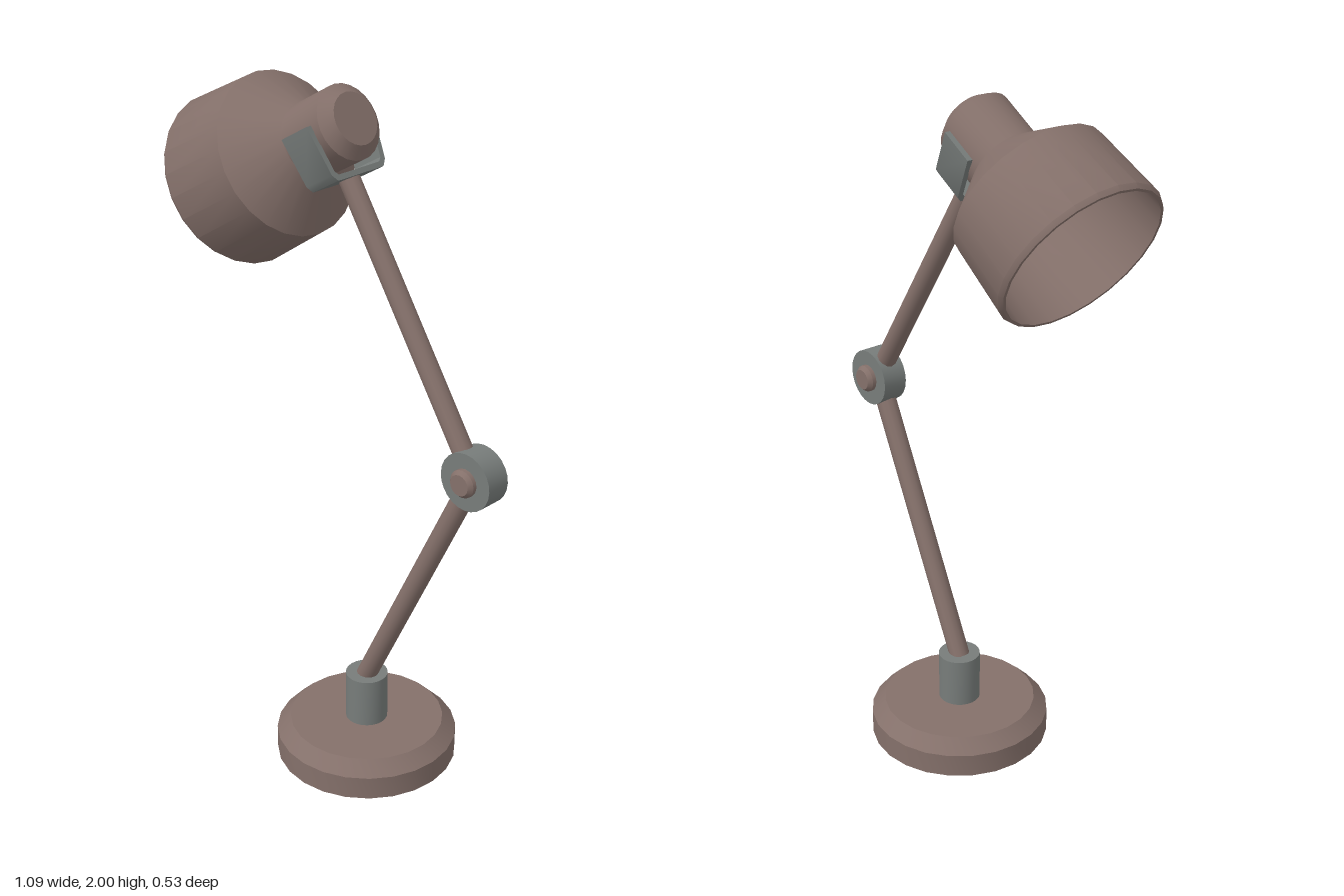
import * as THREE from 'three';
import { toCreasedNormals } from 'three/addons/utils/BufferGeometryUtils.js';

const paint = new THREE.MeshStandardMaterial({ color: 0x84706a });
const paintOpen = new THREE.MeshStandardMaterial({ color: 0x84706a, side: THREE.DoubleSide });
const metal = new THREE.MeshStandardMaterial({ color: 0x777c7a });

function part(name, geometry, material) {
  const mesh = new THREE.Mesh(toCreasedNormals(geometry, 0.55), material);
  mesh.name = name;
  return mesh;
}

// Turned part from [radius, height] pairs
function turned(name, profile, material, sides = 24) {
  const points = profile.map(([r, y]) => new THREE.Vector2(r, y));
  return part(name, new THREE.LatheGeometry(points, sides), material);
}

// Straight round bar between two points of the z = 0 plane
function rod(name, from, to, radius) {
  const a = new THREE.Vector3(...from, 0);
  const b = new THREE.Vector3(...to, 0);
  const mesh = part(name, new THREE.CylinderGeometry(radius, radius, a.distanceTo(b), 12), paint);
  mesh.position.copy(a).add(b).multiplyScalar(0.5);
  mesh.quaternion.setFromUnitVectors(new THREE.Vector3(0, 1, 0), b.sub(a).normalize());
  return mesh;
}

export function createModel() {
  const lamp = new THREE.Group();
  lamp.name = 'deskLamp';
  const elbow = [0.461, 1.045];

  // Hollow base, open underneath, with a bevelled top edge
  const base = turned('base', [[0.267, 0], [0.267, 0.07], [0.227, 0.11], [0, 0.11]], paintOpen);
  base.position.x = 0.08;
  lamp.add(base);

  // Collar holding the lower arm
  const collar = part('collar', new THREE.CylinderGeometry(0.062, 0.062, 0.155, 24), metal);
  collar.position.set(0.08, 0.1825, 0);
  lamp.add(collar);

  // Arms
  lamp.add(rod('lowerArm', [0.078, 0.25], elbow, 0.03));
  lamp.add(rod('upperArm', elbow, [0.003, 1.768], 0.03));

  // Elbow disc with a bevelled pin through it
  const joint = new THREE.Group();
  joint.name = 'elbowJoint';
  joint.add(part('elbowDisc', new THREE.CylinderGeometry(0.083, 0.083, 0.076, 24), metal));
  joint.add(turned('elbowPin', [
    [0, -0.062], [0.03, -0.062], [0.04, -0.05], [0.04, 0.05], [0.03, 0.062], [0, 0.062],
  ], paint, 16));
  joint.rotation.x = Math.PI / 2;
  joint.position.set(...elbow, 0);
  lamp.add(joint);

  // Head: local y runs from the shade rim to the back cap
  const head = new THREE.Group();
  head.name = 'head';
  head.position.set(-0.426, 1.664, 0);
  head.rotation.z = -Math.PI / 3;
  lamp.add(head);

  // Shade: inner wall from the neck down to the rim, then outer wall back up
  head.add(turned('shade', [
    [0, 0.49], [0.09, 0.49], [0.09, 0.342], [0.22, 0.23], [0.232, 0],
    [0.24, 0], [0.247, 0.014], [0.232, 0.238], [0.104, 0.347],
    [0.104, 0.497], [0.072, 0.526], [0, 0.526],
  ], paintOpen));

  // U-shaped bracket with flared sides gripping the neck
  const outer = [[-0.021, 0.122], [0.115, 0.1], [0.133, 0.085]];
  const inner = [[-0.021, 0.106], [0.108, 0.086], [0.118, 0.076]];
  const mirror = (list) => list.map(([x, y]) => [x, -y]).reverse();
  const outline = [...outer, ...mirror(outer), ...inner.map(([x, y]) => [x, -y]), ...[...inner].reverse()];
  const shape = new THREE.Shape(outline.map(([x, y]) => new THREE.Vector2(x, y)));
  const bracketGeometry = new THREE.ExtrudeGeometry(shape, { depth: 0.106, bevelEnabled: false });
  bracketGeometry.rotateX(-Math.PI / 2);
  const bracket = part('headBracket', bracketGeometry, metal);
  bracket.position.y = 0.367;
  head.add(bracket);

  return lamp;
}
